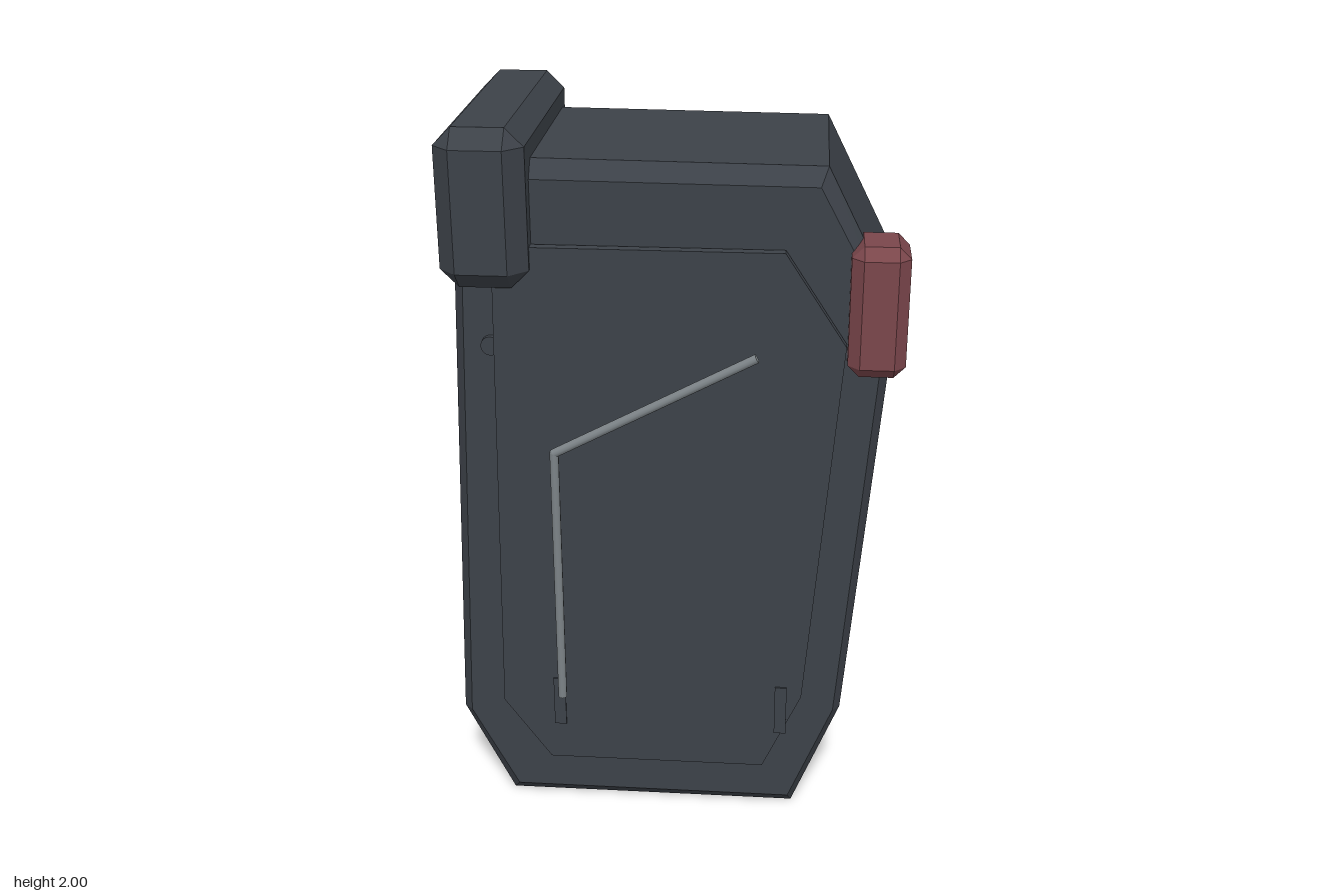
import * as THREE from 'three';
import { ConvexGeometry } from 'three/addons/geometries/ConvexGeometry.js';

const material = (name, color, flatShading = true) => {
  const m = new THREE.MeshStandardMaterial({ color, flatShading });
  m.name = name;
  return m;
};

// Box given by its limits, with every edge cut at 45 degrees
function chamferBox([x0, x1], [y0, y1], [z0, z1], c) {
  const h = [(x1 - x0) / 2, (y1 - y0) / 2, (z1 - z0) / 2];
  const points = [];
  for (const sx of [-1, 1]) for (const sy of [-1, 1]) for (const sz of [-1, 1]) {
    for (let full = 0; full < 3; full++) {
      const p = h.map((v, i) => (i === full ? v : v - c));
      points.push(new THREE.Vector3(sx * p[0], sy * p[1], sz * p[2]));
    }
  }
  return new ConvexGeometry(points).translate((x0 + x1) / 2, (y0 + y1) / 2, (z0 + z1) / 2);
}

export function createModel() {
  const group = new THREE.Group();
  const dark = material('dark slate', 0x3c4148);
  const red = material('dull red', 0x7a464b);
  const metal = material('grey metal', 0x7c8387, false);

  const add = (name, geometry, mat) => {
    const mesh = new THREE.Mesh(geometry, mat);
    mesh.name = name;
    group.add(mesh);
    return mesh;
  };

  // Main body: outer outline with a smaller outline on the front and back faces
  const outer = [[-0.47, 0], [0.345, 0], [0.475, 0.33], [0.575, 1.535], [0.39, 1.9], [-0.55, 1.908], [-0.605, 0.28]];
  const inner = [[-0.45, 0.04], [0.335, 0.04], [0.455, 0.34], [0.55, 1.525], [0.372, 1.855], [-0.525, 1.862], [-0.578, 0.29]];
  const section = (outline, z) => outline.map(([x, y]) => new THREE.Vector3(x, y, z));
  add('body', new ConvexGeometry([
    ...section(inner, -0.165), ...section(outer, -0.125),
    ...section(outer, 0.43), ...section(inner, 0.467),
  ]), dark);

  // Front door panel
  const door = new THREE.Shape([
    [-0.345, 0.165], [0.26, 0.165], [0.365, 0.4], [0.45, 1.45],
    [0.29, 1.695], [-0.45, 1.695], [-0.475, 0.35],
  ].map(([x, y]) => new THREE.Vector2(x, y)));
  add('doorPanel', new THREE.ExtrudeGeometry(door, { depth: 0.028, bevelEnabled: false }).translate(0, 0, 0.472), dark);

  // Small hinge knob and door tabs
  add('hingeKnob', new THREE.CylinderGeometry(0.026, 0.026, 0.02, 16).rotateX(Math.PI / 2).translate(-0.467, 1.42, 0.472), dark);
  for (const x of [-0.315, 0.308]) {
    add('doorTab', new THREE.BoxGeometry(0.033, 0.15, 0.02).translate(x, 0.355, 0.495), dark);
  }

  // Bent handle rod
  const bend = [[-0.3, 0.4], [-0.3, 1.15], [0.225, 1.432]].map(([x, y]) => new THREE.Vector3(x, y, 0.545));
  for (let i = 0; i < 2; i++) {
    const dir = bend[i + 1].clone().sub(bend[i]);
    const rod = add('handleRod', new THREE.CylinderGeometry(0.012, 0.012, dir.length(), 10), metal);
    rod.position.copy(bend[i]).addScaledVector(dir, 0.5);
    rod.quaternion.setFromUnitVectors(new THREE.Vector3(0, 1, 0), dir.normalize());
  }
  const elbow = add('handleElbow', new THREE.SphereGeometry(0.012, 10, 8), metal);
  elbow.position.copy(bend[1]);

  // Corner cap and red side block
  add('cornerCap', chamferBox([-0.58, -0.353], [1.59, 2], [-0.213, 0.557], 0.047), dark);
  add('redBlock', chamferBox([0.453, 0.6], [1.375, 1.72], [0.355, 0.537], 0.03), red);

  // Back pad with two vertical rails
  add('backPad', chamferBox([-0.5, 0.405], [0.34, 1.69], [-0.435, -0.238], 0.078), dark);
  for (const x of [-0.327, 0.287]) {
    add('backRail', chamferBox([x - 0.063, x + 0.063], [0.38, 1.645], [-0.56, -0.425], 0.03), dark);
  }

  return group;
}
